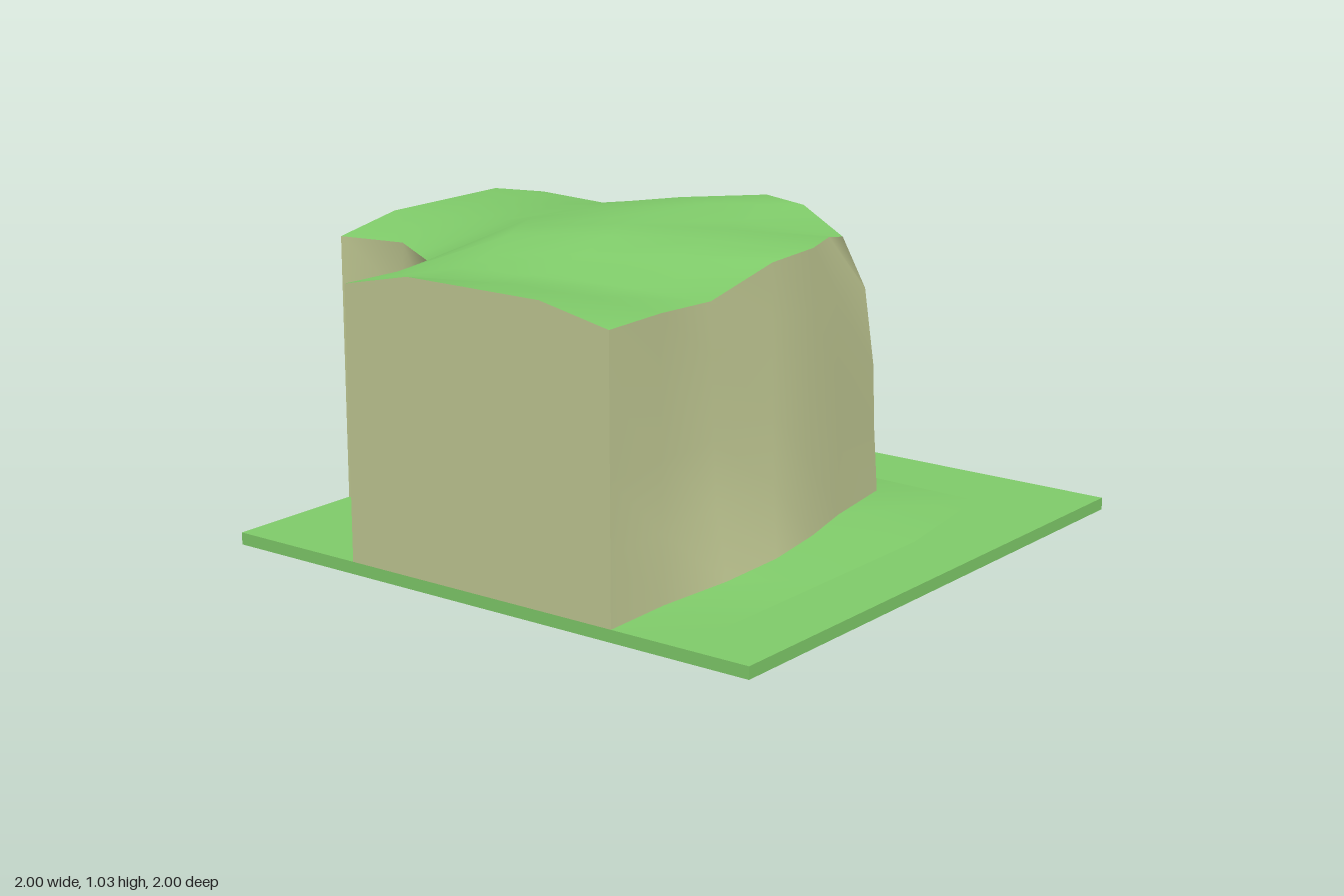
import * as THREE from 'three';
import { toCreasedNormals } from 'three/addons/utils/BufferGeometryUtils.js';

const grass = new THREE.MeshStandardMaterial({ color: 0x80cc6a });
const rock = new THREE.MeshStandardMaterial({ color: 0xc2ca94 });
const GROUND = 0.04;

// Surface through rows of [x, y, z] points; faces towards (along row) x (next row)
function loft(name, rows, material) {
  const n = rows[0].length, index = [];
  for (let r = 0; r < rows.length - 1; r++) {
    for (let c = 0; c < n - 1; c++) {
      const a = r * n + c, b = a + 1, d = a + n, e = d + 1;
      index.push(a, b, d, b, e, d);
    }
  }
  const g = new THREE.BufferGeometry();
  g.setAttribute('position', new THREE.Float32BufferAttribute(rows.flat(2), 3));
  g.setIndex(index);
  const mesh = new THREE.Mesh(toCreasedNormals(g, 0.8), material);
  mesh.name = name;
  return mesh;
}

const mix = (a, b, t) => a + (b - a) * t;
// Point between base b and top t: height fraction u, sideways fraction w
const between = (b, t, u, w) => [mix(b[0], t[0], w), mix(b[1], t[1], u), mix(b[2], t[2], w)];
const drop = (p) => [p[0], GROUND, p[2]];

// Outer cliff: top edge, base and foot of the grass bank, from back right round to front
const outerTop = [
  [-1, 0.92, -0.51], [-0.77, 0.91, -0.52], [-0.6, 0.9, -0.53], [-0.3, 0.96, -0.515], [-0.03, 1.02, -0.51],
  [0.14, 1.01, -0.48], [0.33, 0.935, -0.43], [0.42, 0.98, -0.22], [0.49, 0.985, -0.03], [0.5, 0.98, 0.2],
  [0.47, 0.905, 0.47], [0.5, 0.925, 0.75], [0.51, 0.925, 1]];
const outerBase = [
  [-1, 0.04, -0.51], [-0.77, 0.06, -0.52], [-0.6, 0.09, -0.55], [-0.3, 0.09, -0.555], [-0.03, 0.085, -0.54],
  [0.2, 0.08, -0.53], [0.42, 0.075, -0.52], [0.47, 0.075, -0.22], [0.52, 0.07, 0], [0.56, 0.068, 0.25],
  [0.555, 0.06, 0.5], [0.51, 0.045, 0.75], [0.51, 0.04, 1]];
const outerFoot = outerBase.map(([x, , z], i) =>
  [i < 6 ? x : i === 6 ? 0.68 : 0.76, GROUND, i < 6 ? -0.74 : i === 6 ? -0.72 : z]);

// Notch cliff at the front right corner of the tile
const innerTop = [
  [-1, 0.925, 0.51], [-0.77, 0.925, 0.465], [-0.58, 0.905, 0.555], [-0.5, 0.92, 0.78], [-0.51, 0.92, 1]];
const innerBase = [
  [-1, 0.04, 0.51], [-0.77, 0.04, 0.5], [-0.54, 0.1, 0.54], [-0.5, 0.04, 0.77], [-0.51, 0.04, 1]];

// Heights across the plateau at a quarter, half and three quarters of the way in
const domes = [
  [0.97, 0.97, 0.95, 0.99, 1.03, 1.03, 1.0, 1.01, 1.01, 0.99, 0.93, 0.95, 0.975],
  [0.97, 0.975, 0.98, 1.0, 1.02, 1.03, 1.03, 1.03, 1.02, 0.99, 0.95, 0.96, 0.975],
  [0.97, 0.97, 0.97, 0.98, 0.99, 1.01, 1.035, 1.03, 1.02, 0.98, 0.96, 0.95, 0.975]];

export function createModel() {
  const group = new THREE.Group();

  // Ground slab
  const slab = new THREE.Mesh(new THREE.BoxGeometry(2, GROUND, 2), grass);
  slab.position.y = GROUND / 2;
  slab.name = 'groundSlab';
  group.add(slab);

  // Plateau: lofted from the outer edge to the notch edge
  const innerEdge = outerTop.map((_, i) => {
    const s = i / 3, k = Math.min(3, Math.floor(s));
    return between(innerTop[k], innerTop[k + 1], s - k, s - k);
  });
  const plateau = [
    outerTop,
    ...domes.map((heights, r) => outerTop.map((p, i) => {
      const q = between(p, innerEdge[i], 0, (r + 1) / 4);
      return [q[0], heights[i], q[2]];
    })),
    innerEdge];
  plateau.reverse();
  group.add(loft('plateauGrass', plateau, grass));

  // Outer cliff: the back bulges outwards, the side leans in
  const backLean = [1, 0.4, 0.15, 0.1, 0], sideLean = [1, 0.95, 0.8, 0.6, 0];
  const outerRows = [1, 0.8, 0.5, 0.25, 0].map((u, r) =>
    outerTop.map((t, i) => between(outerBase[i], t, u, (i < 8 ? backLean : sideLean)[r])));
  group.add(loft('outerCliff', outerRows, rock));
  group.add(loft('outerBank', [outerBase, outerFoot], grass));

  // Notch cliff and the small bank in its corner
  const innerRows = [[0, 0], [0.25, 0], [0.8, 0.9], [1, 1]].map(([u, w]) =>
    innerTop.map((t, i) => {
      const p = between(innerBase[i], t, u, w);
      if (i === 2 && u === 0.25) p[0] = -0.51;
      return p;
    }));
  group.add(loft('notchCliff', innerRows, rock));
  const bankFoot = innerBase.map((p, i) => (i === 2 ? [-0.75, GROUND, 0.75] : drop(p)));
  group.add(loft('notchBank', [bankFoot, innerBase], grass));

  // Flat cut faces on the tile border
  const sideEdge = plateau.map((row) => row[0]);
  const frontEdge = plateau.map((row) => row[12]);
  group.add(loft('sideCutFace', [sideEdge, sideEdge.map(drop)], rock));
  group.add(loft('frontCutFace', [frontEdge.map(drop), frontEdge], rock));

  return group;
}
